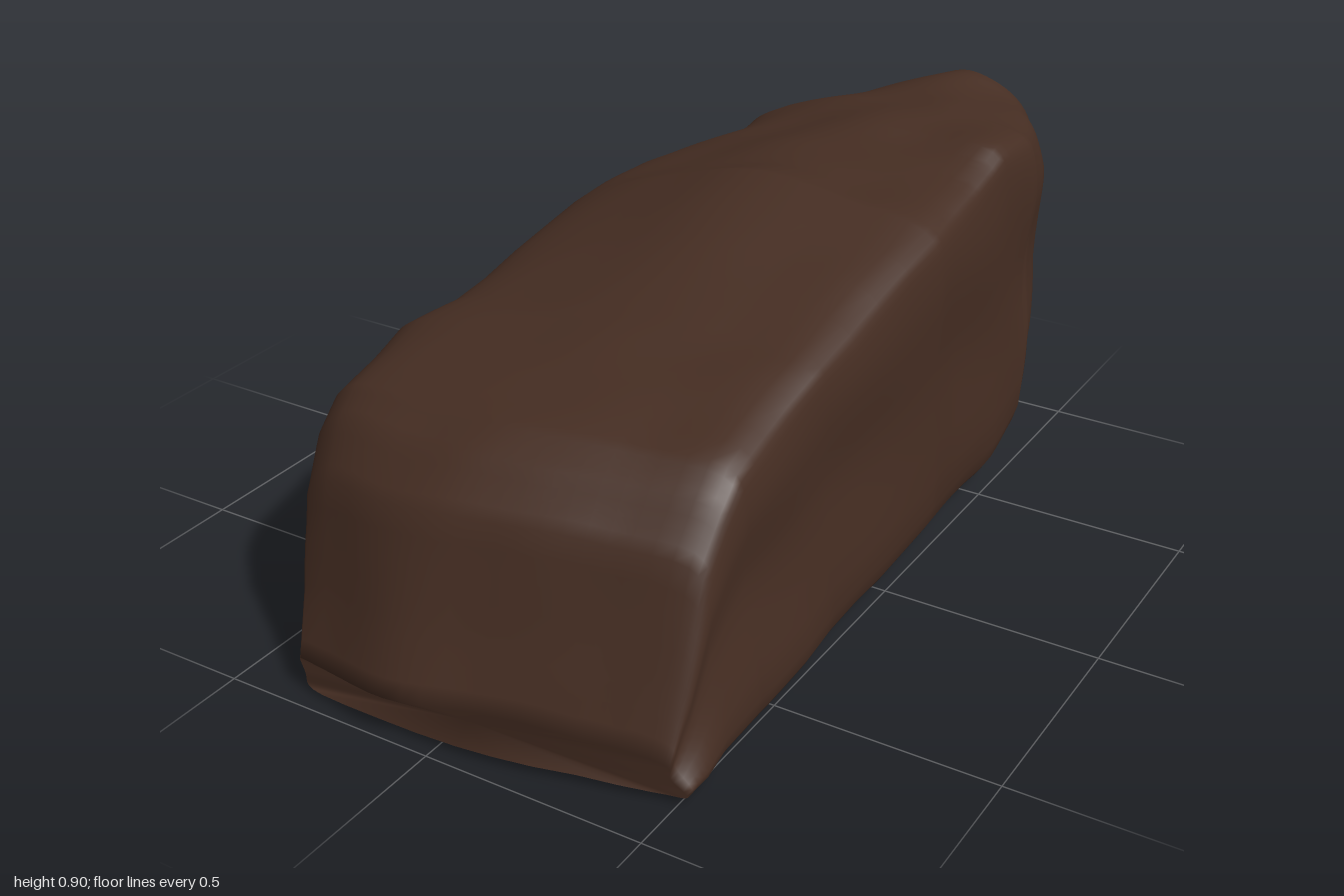
import * as THREE from 'three';

const { smoothstep } = THREE.MathUtils;

// Cross-sections from front to back:
// z, bottom-left x, widest-left x, right x, bottom y, left shoulder y, crest y, right shoulder y
const SECTIONS = [
  [1.0, -0.33, -0.36, 0.515, 0.01, 0.08, 0.11, 0.09],
  [0.94, -0.34, -0.39, 0.525, 0.005, 0.22, 0.26, 0.25],
  [0.87, -0.34, -0.44, 0.525, 0.005, 0.42, 0.465, 0.45],
  [0.78, -0.33, -0.47, 0.525, 0.005, 0.515, 0.55, 0.545],
  [0.69, -0.33, -0.49, 0.525, 0.01, 0.555, 0.6, 0.6],
  [0.4, -0.33, -0.52, 0.52, 0.012, 0.595, 0.655, 0.655],
  [0.28, -0.33, -0.48, 0.515, 0.02, 0.61, 0.69, 0.68],
  [-0.2, -0.335, -0.475, 0.505, 0.02, 0.69, 0.835, 0.785],
  [-0.3, -0.3, -0.465, 0.5, 0.02, 0.7, 0.82, 0.8],
  [-0.42, -0.25, -0.455, 0.5, 0.025, 0.705, 0.83, 0.82],
  [-0.5, -0.19, -0.39, 0.5, 0.025, 0.725, 0.84, 0.84],
  [-0.56, -0.13, -0.26, 0.5, 0.03, 0.775, 0.86, 0.86],
  [-0.69, -0.05, -0.255, 0.5, 0.06, 0.785, 0.87, 0.865],
  [-0.71, -0.16, -0.235, 0.5, 0.25, 0.79, 0.875, 0.86],
  [-0.82, -0.09, -0.11, 0.47, 0.31, 0.8, 0.885, 0.84],
  [-0.92, 0.04, 0.02, 0.41, 0.37, 0.82, 0.895, 0.83],
  [-0.97, 0.1, 0.1, 0.36, 0.48, 0.81, 0.855, 0.81],
  [-1.0, 0.16, 0.16, 0.29, 0.67, 0.76, 0.79, 0.77],
];
const AROUND = 72;
const STEPS = 4;

// Rounded outline of one cross-section, counter-clockwise seen from the front
function outline([z, xb, xl, xr, yb, yl, yt, yr]) {
  const kx = Math.min(1, (xr - xl) / 0.6);
  const ky = Math.min(1, (yr - yb) / 0.5);
  const at = (t) => xl + (xr - xl) * t;
  const lean = 0.003 + 0.03 * smoothstep(z, -0.2, 0.5);
  // The front face is swept back on either side of a blunt nose
  const sweep = (x) => smoothstep(z, 0.4, 0.9) * (x > -0.1 ? 0.22 * (x + 0.1) : 0.2 * (-0.1 - x));
  const points = [
    [xb - 0.01 * kx, yb + 0.03 * ky],
    [xb + 0.03 * kx, yb],
    [(xb + xr) / 2, yb + 0.005],
    [xr - 0.05 * kx, yb + 0.005],
    [xr, yb + 0.05 * ky],
    [xr - lean, yb + (yr - yb) * 0.55],
    [xr - lean, yr - 0.09 * ky],
    [xr - 0.03 - lean, yr - 0.015 * ky],
    [at(0.74), yr + (yt - yr) * 0.6],
    [at(0.52), yt],
    [at(0.3), yl + (yt - yl) * 0.6],
    [at(0.08), yl],
    [at(0.012), yl - 0.05 * ky],
    [xl, yb + (yl - yb) * 0.84],
    [xl + (xb - xl) * 0.5, yb + (yl - yb) * 0.42],
  ].map(([x, y]) => new THREE.Vector3(x, y, z - sweep(x)));
  const curve = new THREE.CatmullRomCurve3(points, true, 'centripetal');
  return Array.from({ length: AROUND }, (_, i) => curve.getPoint(i / AROUND));
}

// Gentle lumps that weather the surface
function weather(p) {
  const a = Math.sin(p.x * 13 + p.z * 7 + 1) * Math.sin(p.y * 15 - p.z * 5);
  const b = Math.sin(p.z * 23 + p.y * 17) * Math.sin(p.x * 21 - p.y * 11 + 2);
  const back = smoothstep(-p.z, 0.4, 0.75);
  const amount = (0.004 + 0.006 * back) * (1 - smoothstep(Math.abs(p.z), 0.95, 1));
  p.x += amount * a;
  p.y += amount * 0.6 * b;
  p.z += amount * 0.6 * a * b;
  return p;
}

function rockGeometry() {
  // Blend rings between neighbouring cross-sections
  const outlines = SECTIONS.map(outline);
  const rings = [];
  outlines.forEach((ring, i) => {
    const next = outlines[i + 1];
    for (let s = 0; s < (next ? STEPS : 1); s++) {
      rings.push(ring.map((p, j) => weather(next ? p.clone().lerp(next[j], s / STEPS) : p.clone())));
    }
  });
  const vertices = rings.flat();
  const index = [];
  for (let i = 0; i < rings.length - 1; i++) {
    for (let j = 0; j < AROUND; j++) {
      const a = i * AROUND + j;
      const b = i * AROUND + (j + 1) % AROUND;
      index.push(a, a + AROUND, b, b, a + AROUND, b + AROUND);
    }
  }
  // Close both ends with fans
  [0, rings.length - 1].forEach((r) => {
    const centre = new THREE.Vector3();
    rings[r].forEach((p) => centre.addScaledVector(p, 1 / AROUND));
    const c = vertices.push(centre) - 1;
    for (let j = 0; j < AROUND; j++) {
      const a = r * AROUND + j;
      const b = r * AROUND + (j + 1) % AROUND;
      if (r === 0) index.push(c, a, b);
      else index.push(c, b, a);
    }
  });
  const geometry = new THREE.BufferGeometry().setFromPoints(vertices);
  geometry.setIndex(index);
  geometry.computeVertexNormals();
  // Rest the rock on the ground
  geometry.computeBoundingBox();
  geometry.translate(0, -geometry.boundingBox.min.y, 0);
  return geometry;
}

export function createModel() {
  const group = new THREE.Group();
  group.name = 'boulder';
  const brownStone = new THREE.MeshStandardMaterial({ color: 0x452d22 });
  brownStone.name = 'brownStone';
  const rock = new THREE.Mesh(rockGeometry(), brownStone);
  rock.name = 'rock';
  group.add(rock);
  return group;
}
